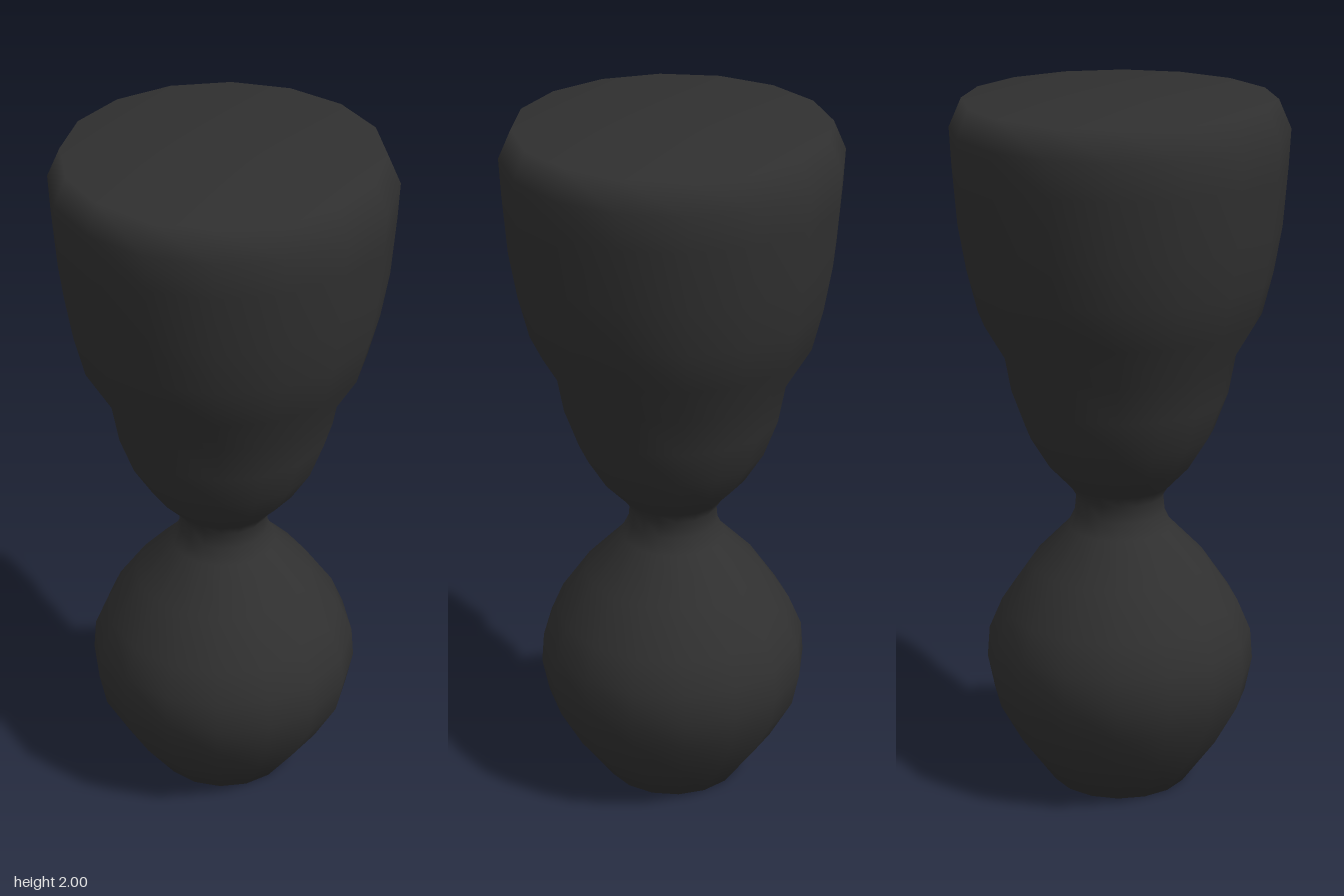
import * as THREE from 'three';

const SIDES = 16;

// Radius and height from the base centre up to the centre of the flat top
const PROFILE = [
  [0, 0], [0.2, 0],
  // round bulb
  [0.3, 0.14], [0.365, 0.26], [0.385, 0.36], [0.378, 0.45], [0.34, 0.54], [0.255, 0.665],
  // pinched neck
  [0.15, 0.775], [0.128, 0.82], [0.124, 0.866], [0.145, 0.9],
  // stepped cup
  [0.21, 0.97], [0.265, 1.06], [0.305, 1.17], [0.325, 1.28],
  [0.395, 1.4], [0.425, 1.52], [0.447, 1.65], [0.46, 1.82], [0.465, 1.92],
  // bevelled edge and closed top
  [0.43, 2], [0, 2],
];

export function createModel() {
  const group = new THREE.Group();

  // One smooth closed skin
  const geometry = new THREE.LatheGeometry(PROFILE.map(([r, y]) => new THREE.Vector2(r, y)), SIDES);
  geometry.normalizeNormals();
  const body = new THREE.Mesh(geometry, new THREE.MeshStandardMaterial({ color: 0x303030 }));
  body.name = 'body';
  group.add(body);

  return group;
}
